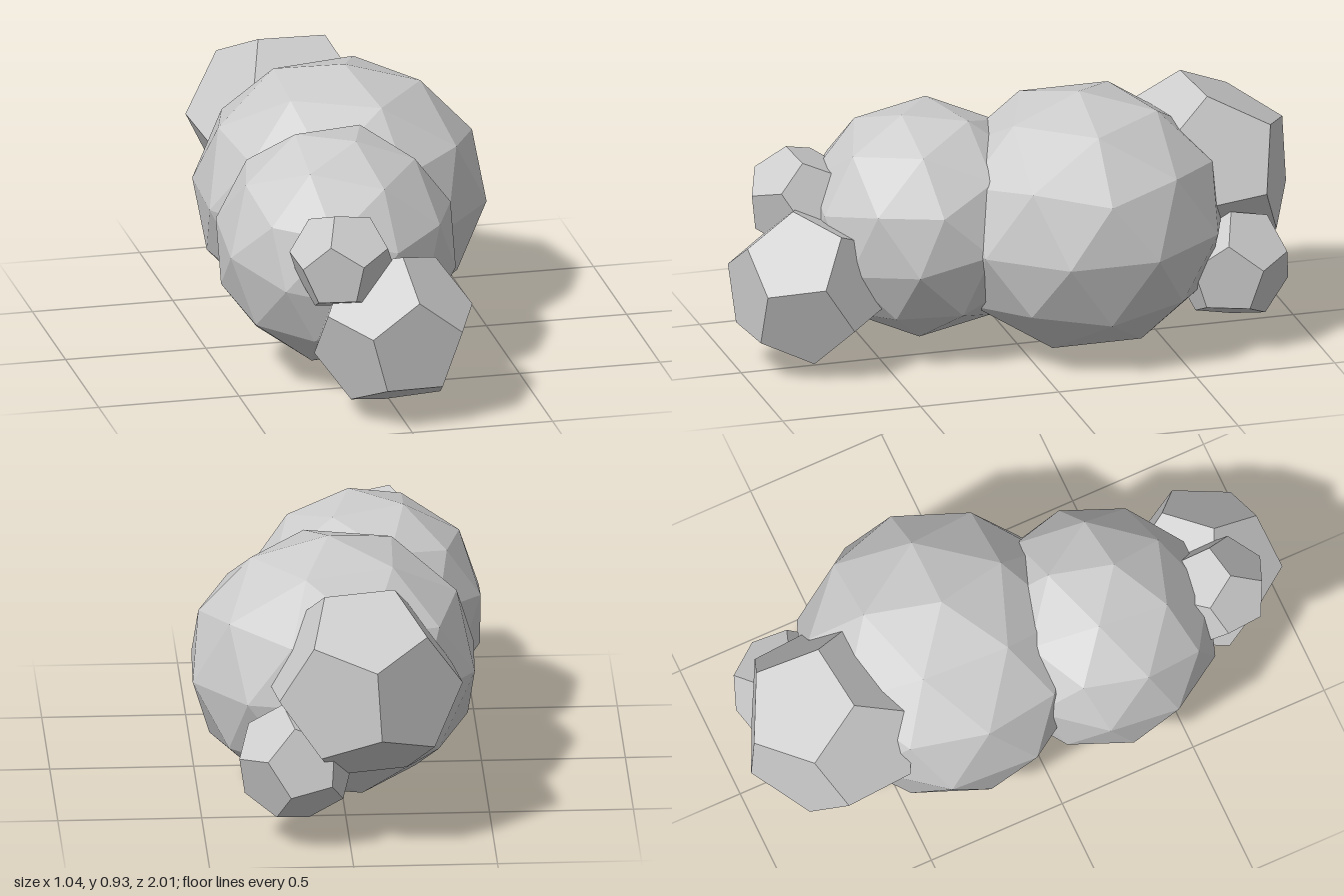
import * as THREE from 'three';

const TILT = Math.atan(2 / (1 + Math.sqrt(5)));

// Faceted ball with a corner on +y and the next corner leaning to +x
function facetedBall() {
  return new THREE.IcosahedronGeometry(1, 1).rotateZ(-TILT);
}

// Chunky twelve-sided lump with a face on +y and the next face leaning to +x
function chunkyLump() {
  return new THREE.DodecahedronGeometry(1, 0).rotateX(-TILT).rotateY(-Math.PI / 2);
}

// Turns a unit shape so +y points along pole and +x leans to side
function place(geometry, scale, center, pole, side) {
  const y = new THREE.Vector3(...pole).normalize();
  const x = new THREE.Vector3(...side);
  x.addScaledVector(y, -x.dot(y)).normalize();
  const z = new THREE.Vector3().crossVectors(x, y);
  geometry.scale(...scale);
  geometry.applyMatrix4(new THREE.Matrix4().makeBasis(x, y, z));
  return geometry.translate(...center);
}

export function createModel() {
  const group = new THREE.Group();
  group.name = 'lumpyCluster';
  const material = new THREE.MeshStandardMaterial({ color: 0xcccccc, flatShading: true });

  const parts = [
    // Two large overlapping balls form the body
    ['largeBall', facetedBall(), [0.515, 0.465, 0.515], [0.028, 0.465, -0.22], [0.035, 1, 0.02], [1, -0.03, 0.04]],
    ['middleBall', facetedBall(), [0.425, 0.415, 0.425], [-0.11, 0.467, 0.31], [0.05, 0.4, 0.09], [-0.12, 0.4, -0.04]],
    // Lumps at the back
    ['backUpperLump', chunkyLump(), [0.345, 0.345, 0.345], [-0.06, 0.56, -0.675], [0, 0.87, -0.45], [0.5, 0, -1]],
    ['backLowerLump', chunkyLump(), [0.21, 0.21, 0.21], [0.185, 0.29, -0.72], [0.7, -0.3, -0.65], [0.3, 1, 0]],
    // Lumps at the front
    ['frontLowerLump', chunkyLump(), [0.288, 0.288, 0.288], [-0.01, 0.3, 0.755], [0.14, -0.03, 1], [0, -1, 0.3]],
    ['frontUpperLump', chunkyLump(), [0.187, 0.187, 0.187], [-0.187, 0.555, 0.735], [0.2, 0.7, 0.6], [-0.5, -0.3, 0.8]],
  ];

  for (const [name, geometry, scale, center, pole, side] of parts) {
    const mesh = new THREE.Mesh(place(geometry, scale, center, pole, side), material);
    mesh.name = name;
    group.add(mesh);
  }
  return group;
}
